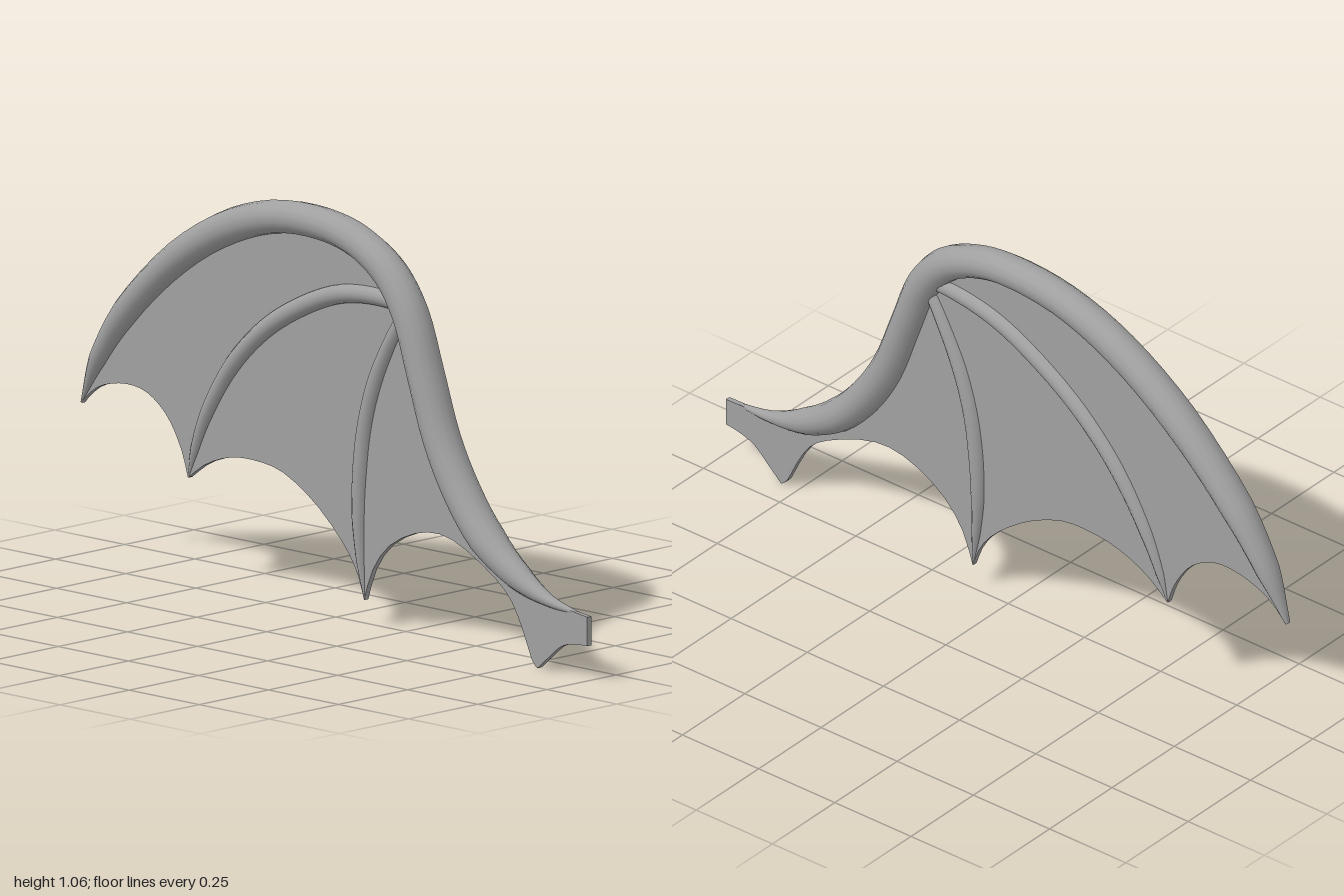
import * as THREE from 'three';

// Tapered bone in the wing plane; each station is [x, y, in-plane radius, depth radius]
function boneGeometry(stations, rings, sides = 14) {
  const path = new THREE.CatmullRomCurve3(stations.map(([x, y]) => new THREE.Vector3(x, y, 0)), false, 'centripetal');
  const radii = new THREE.CatmullRomCurve3(stations.map(([, , r, d]) => new THREE.Vector3(r, d, 0)), false, 'centripetal');
  const mix = (k, t) => {
    const f = t * (stations.length - 1), i = Math.min(Math.floor(f), stations.length - 2);
    return THREE.MathUtils.lerp(stations[i][k], stations[i + 1][k], f - i);
  };
  const pos = [], index = [];
  for (let i = 0; i <= rings; i++) {
    const t = i / rings;
    const c = path.getPoint(t), tan = path.getTangent(t);
    const r = mix(2, t), d = mix(3, t);
    for (let j = 0; j < sides; j++) {
      const a = (j / sides) * Math.PI * 2;
      pos.push(c.x - tan.y * r * Math.cos(a), c.y + tan.x * r * Math.cos(a), d * Math.sin(a));
    }
  }
  for (let i = 0; i < rings; i++) {
    for (let j = 0; j < sides; j++) {
      const a = i * sides + j, b = i * sides + (j + 1) % sides;
      index.push(a, a + sides, b, b, a + sides, b + sides);
    }
  }
  // End caps
  const last = rings * sides;
  for (let j = 1; j < sides - 1; j++) {
    index.push(0, j, j + 1, last, last + j + 1, last + j);
  }
  const g = new THREE.BufferGeometry();
  g.setAttribute('position', new THREE.Float32BufferAttribute(pos, 3));
  g.setIndex(index);
  g.computeVertexNormals();
  return g;
}

export function createModel() {
  const grey = new THREE.MeshStandardMaterial({ color: 0xa0a0a0, side: THREE.DoubleSide });
  grey.name = 'wing grey';
  const wing = new THREE.Group();
  wing.name = 'wing';
  const add = (name, geometry) => {
    const m = new THREE.Mesh(geometry, grey);
    m.name = name;
    wing.add(m);
  };

  // Leading arm: wing tip, over the wrist, down to the shoulder
  const arm = [
    [-1, 0.395, 0.004, 0.008], [-0.93, 0.52, 0.027, 0.034], [-0.82, 0.66, 0.04, 0.045],
    [-0.61, 0.838, 0.045, 0.048], [-0.4, 0.952, 0.046, 0.046], [-0.2, 1.007, 0.043, 0.045],
    [0, 1.009, 0.042, 0.045], [0.12, 0.98, 0.043, 0.045], [0.22, 0.925, 0.046, 0.046],
    [0.295, 0.835, 0.047, 0.048], [0.355, 0.69, 0.046, 0.05], [0.42, 0.53, 0.047, 0.05],
    [0.5, 0.405, 0.048, 0.05], [0.6, 0.3, 0.046, 0.05], [0.72, 0.225, 0.036, 0.036],
    [0.84, 0.182, 0.016, 0.018], [0.97, 0.165, 0.003, 0.004],
  ];
  add('armBone', boneGeometry(arm, 64));

  // Two finger bones running from the wrist to the membrane points
  add('outerFinger', boneGeometry([
    [0.29, 0.85, 0.02, 0.02], [0.18, 0.861, 0.024, 0.026], [0.03, 0.845, 0.026, 0.028],
    [-0.12, 0.79, 0.027, 0.028], [-0.27, 0.705, 0.027, 0.028], [-0.4, 0.59, 0.026, 0.028],
    [-0.5, 0.45, 0.022, 0.025], [-0.55, 0.345, 0.015, 0.018], [-0.575, 0.272, 0.004, 0.008],
  ], 40));
  add('innerFinger', boneGeometry([
    [0.29, 0.85, 0.02, 0.02], [0.23, 0.76, 0.022, 0.025], [0.165, 0.64, 0.025, 0.027],
    [0.125, 0.52, 0.025, 0.027], [0.106, 0.4, 0.025, 0.027], [0.1, 0.28, 0.022, 0.026],
    [0.107, 0.17, 0.015, 0.02], [0.12, 0.07, 0.004, 0.008],
  ], 32));

  // Membrane: scalloped trailing edge, closed along the arm centreline
  const scallops = [
    [[-1, 0.395], [-0.93, 0.447], [-0.83, 0.471], [-0.74, 0.463], [-0.66, 0.415], [-0.605, 0.34], [-0.577, 0.268]],
    [[-0.577, 0.268], [-0.5, 0.318], [-0.4, 0.35], [-0.3, 0.356], [-0.2, 0.343], [-0.08, 0.288], [0.03, 0.205], [0.09, 0.135], [0.12, 0.065]],
    [[0.12, 0.065], [0.155, 0.15], [0.22, 0.222], [0.32, 0.27], [0.42, 0.285], [0.52, 0.262], [0.64, 0.205], [0.705, 0.155], [0.75, 0.085], [0.783, 0.02], [0.805, 0]],
    [[0.805, 0], [0.85, 0.035], [0.9, 0.072], [0.95, 0.086], [1.003, 0.09]],
  ];
  const smooth = (pts, n) => new THREE.SplineCurve(pts.map(([x, y]) => new THREE.Vector2(x, y))).getPoints(n);
  const top = [...arm.slice(0, -1).map(([x, y]) => [x, y]), [0.93, 0.172], [1.003, 0.165]];
  const outline = [
    ...scallops.flatMap((s) => smooth(s, 20).slice(0, -1)),
    new THREE.Vector2(1.003, 0.09),
    ...smooth(top, 60).reverse().slice(0, -1),
  ];
  const membrane = new THREE.ExtrudeGeometry(new THREE.Shape(outline), { depth: 0.014, bevelEnabled: false });
  membrane.translate(0, 0, -0.007);
  add('membrane', membrane);

  // The wing is swept slightly backwards towards its tip
  wing.rotation.y = -0.095;
  const model = new THREE.Group();
  model.name = 'wingModel';
  model.add(wing);
  return model;
}
